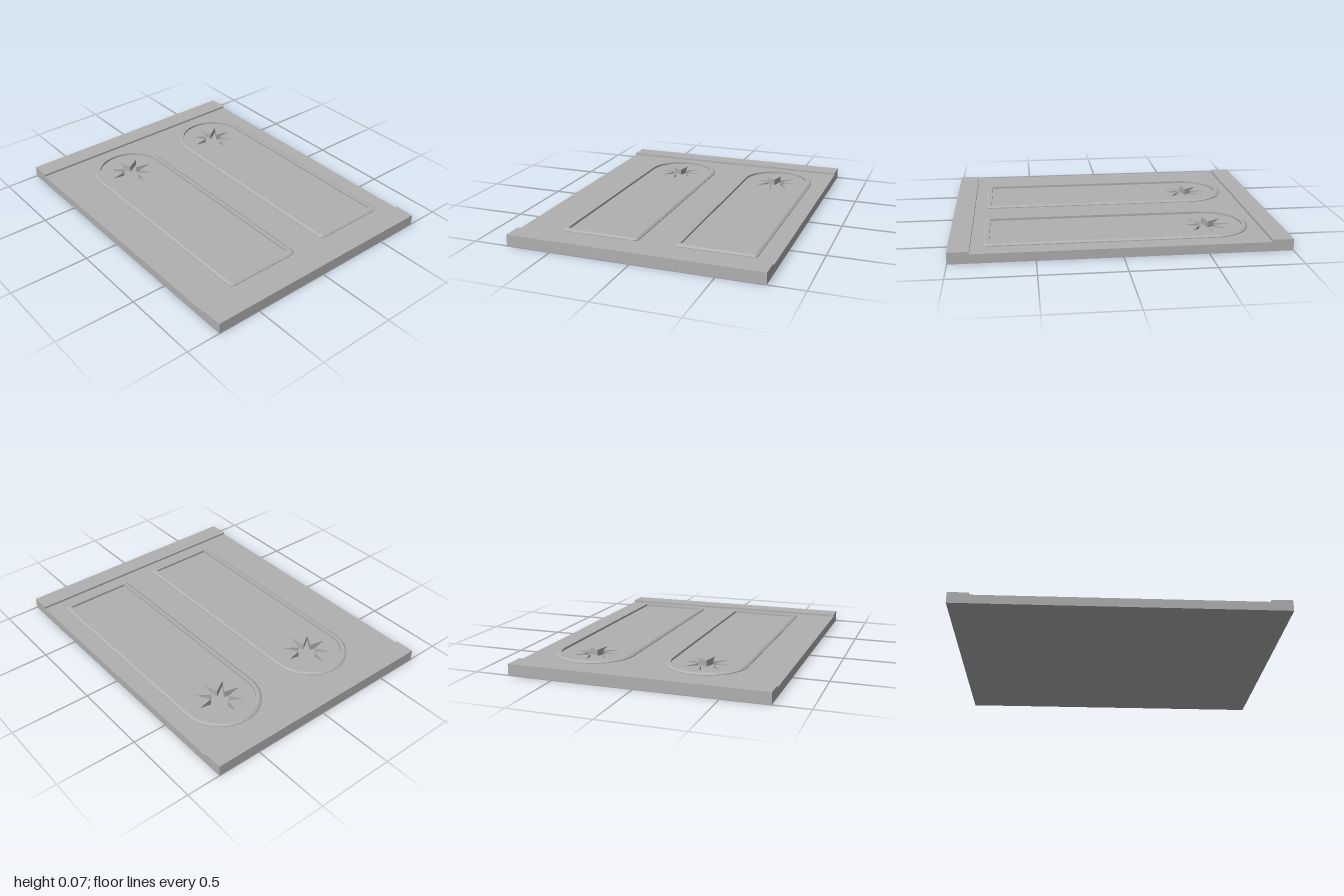
import * as THREE from 'three';

const WIDTH = 1.57, LENGTH = 2;
const FLOOR = 0.015, FACE = 0.056, TOP = 0.07; // star floor, panel face, raised height
const PANELS = [-0.288, 0.426];                // centre x of the two arched panels
const ARCH_Z = -0.562, HALF = 0.249, FOOT_Z = 0.803;

const stone = new THREE.MeshStandardMaterial({ color: 0xb0b0b0 });
stone.name = 'plain grey';

function add(group, name, geometry, x = 0, y = 0, z = 0) {
  const mesh = new THREE.Mesh(geometry, stone);
  mesh.name = name;
  mesh.position.set(x, y, z);
  group.add(mesh);
}

// Eight-pointed star, drawn with shape y = -z
function starHole(cx, cy) {
  const points = [];
  for (let i = 0; i < 16; i++) {
    const r = i % 2 ? 0.055 : 0.149, a = (i * Math.PI) / 8;
    points.push(new THREE.Vector2(cx + r * Math.cos(a), cy + r * Math.sin(a)));
  }
  return new THREE.Path(points);
}

// Counter-clockwise arch outline, moved inwards by d
function archLoop(d) {
  const half = HALF - d, foot = -FOOT_Z + d, r = Math.max(0.03 - d, 0.002);
  const points = [];
  const arc = (cx, cy, radius, from, to, n) => {
    for (let i = 0; i <= n; i++) {
      const a = from + ((to - from) * i) / n;
      points.push([cx + radius * Math.cos(a), cy + radius * Math.sin(a)]);
    }
  };
  arc(0, -ARCH_Z, half, 0, Math.PI, 40);
  arc(-half + r, foot + r, r, Math.PI, Math.PI * 1.5, 6);
  arc(half - r, foot + r, r, Math.PI * 1.5, Math.PI * 2, 6);
  return points;
}

// Moulding swept round the arch: outer lip, chamfer, flat top, inner wall
function archMoulding() {
  const profile = [[0, FACE], [0, 0.061], [0.013, TOP], [0.036, TOP], [0.036, FACE]];
  const loops = profile.map(([d, h]) => archLoop(d).map(([x, y]) => [x, h, -y]));
  const positions = [];
  for (let k = 0; k < loops.length - 1; k++) {
    const low = loops[k], high = loops[k + 1];
    for (let i = 0; i < low.length; i++) {
      const j = (i + 1) % low.length;
      positions.push(...low[i], ...low[j], ...high[j], ...low[i], ...high[j], ...high[i]);
    }
  }
  const geometry = new THREE.BufferGeometry();
  geometry.setAttribute('position', new THREE.Float32BufferAttribute(positions, 3));
  geometry.computeVertexNormals();
  return geometry;
}

export function createModel() {
  const model = new THREE.Group();
  model.name = 'archedPanelSlab';

  // Solid backing, which is also the floor of the stars
  add(model, 'backing', new THREE.BoxGeometry(WIDTH, FLOOR, LENGTH), 0, FLOOR / 2, 0);

  // Face plate pierced by the two stars
  const w = WIDTH / 2, l = LENGTH / 2;
  const plate = new THREE.Shape([
    new THREE.Vector2(-w, -l), new THREE.Vector2(w, -l),
    new THREE.Vector2(w, l), new THREE.Vector2(-w, l),
  ]);
  PANELS.forEach((x) => plate.holes.push(starHole(x, -ARCH_Z)));
  const plateGeometry = new THREE.ExtrudeGeometry(plate, { depth: FACE - FLOOR, bevelEnabled: false });
  plateGeometry.rotateX(-Math.PI / 2);
  add(model, 'facePlate', plateGeometry, 0, FLOOR, 0);

  // Raised rails across both ends
  const rail = new THREE.BoxGeometry(WIDTH, TOP - FACE, 0.126);
  add(model, 'frontRail', rail, 0, (TOP + FACE) / 2, 0.937);
  add(model, 'backRail', rail, 0, (TOP + FACE) / 2, -0.937);

  // Arched mouldings
  const moulding = archMoulding();
  PANELS.forEach((x, i) => add(model, i ? 'leftArchMoulding' : 'rightArchMoulding', moulding, x));

  return model;
}
